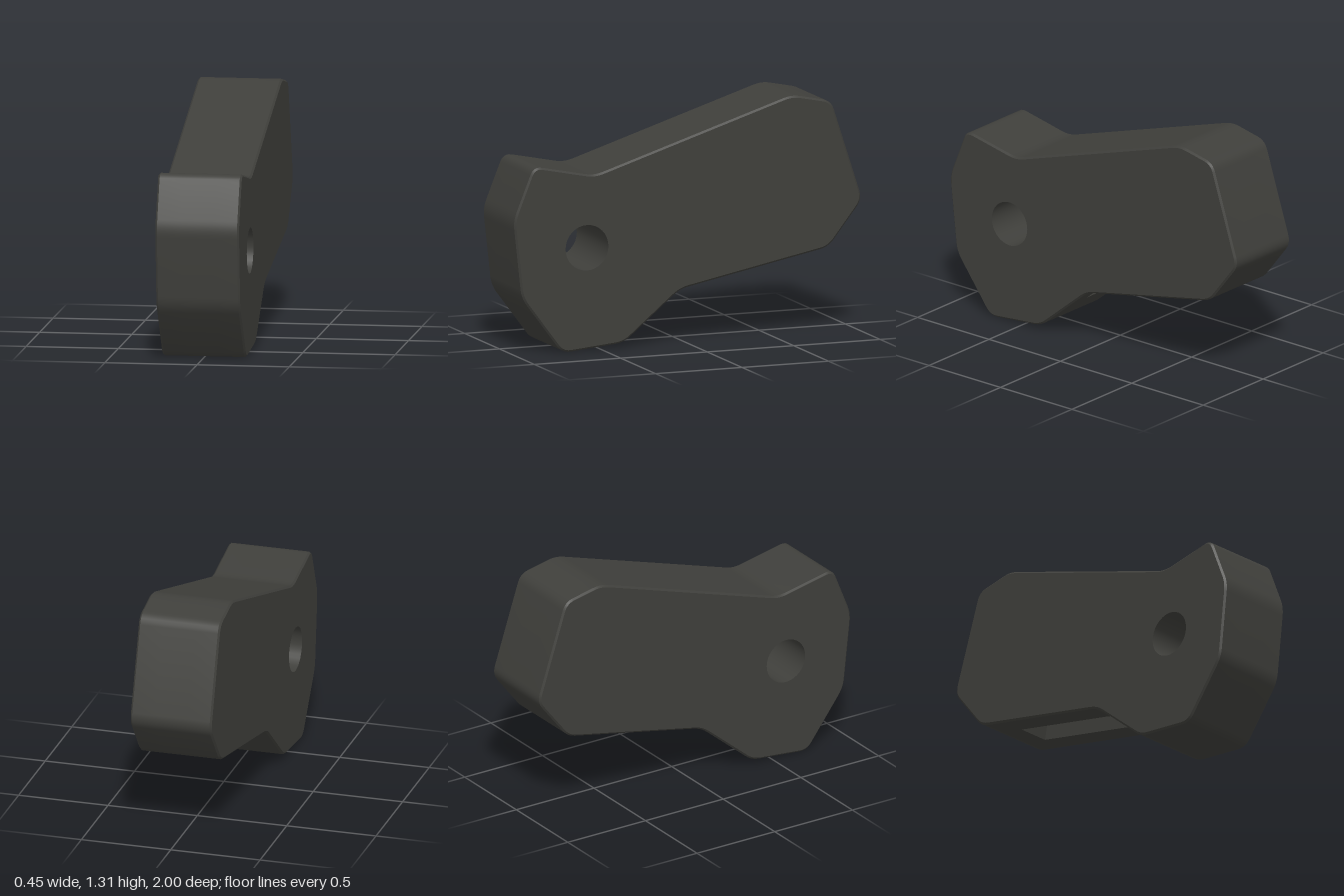
import * as THREE from 'three';
import { mergeGeometries, toCreasedNormals } from 'three/addons/utils/BufferGeometryUtils.js';

const HALF = 0.227;    // half thickness of the body
const BEVEL = 0.01;    // small chamfer around both side faces
const SLOT = 0.09;     // half width of the underside slot
const DEPTH = 0.42;    // depth of the slot

// The profile lies in (u, v) = (-z, y) and is swept along w, which becomes x.
const v2 = (z, y) => new THREE.Vector2(-z, y);

// Closed outline with every corner rounded; a corner flagged "sharp" stays as is.
function roundCorners(corners, cut = 0.05, steps = 5) {
  const out = [];
  corners.forEach((c, i) => {
    if (c.sharp) return out.push(c.clone());
    const n = corners.length;
    const toward = (p) => c.clone().add(p.clone().sub(c).setLength(cut));
    const a = toward(corners[(i + n - 1) % n]);
    const b = toward(corners[(i + 1) % n]);
    out.push(...new THREE.QuadraticBezierCurve(a, c, b).getPoints(steps));
  });
  return out;
}

// Move a counter-clockwise outline inward by d
function inset(pts, d) {
  const n = pts.length;
  return pts.map((p, i) => {
    const e1 = p.clone().sub(pts[(i + n - 1) % n]).normalize();
    const e2 = pts[(i + 1) % n].clone().sub(p).normalize();
    const t = e1.add(e2).normalize();
    return new THREE.Vector2(p.x - t.y * d, p.y + t.x * d);
  });
}

// Wall between two outlines with equal point counts, at depths w0 < w1
function wall(p0, w0, p1, w1) {
  const pos = [];
  p0.forEach((p, i) => {
    const j = (i + 1) % p0.length;
    const a = [p.x, p.y, w0], b = [p0[j].x, p0[j].y, w0];
    const c = [p1[j].x, p1[j].y, w1], d = [p1[i].x, p1[i].y, w1];
    pos.push(...a, ...b, ...c, ...a, ...c, ...d);
  });
  return new THREE.BufferGeometry().setAttribute('position', new THREE.Float32BufferAttribute(pos, 3));
}

// Flat face at depth w, looking along +w or -w
function cap(pts, w, facing, hole) {
  const shape = new THREE.Shape(pts);
  if (hole) shape.holes.push(new THREE.Path(hole));
  const g = new THREE.ShapeGeometry(shape);
  if (facing < 0) g.index.array.reverse();
  const flat = g.toNonIndexed();
  flat.deleteAttribute('uv');
  flat.deleteAttribute('normal');
  return flat.translate(0, 0, w);
}

export function createModel() {
  const group = new THREE.Group();
  const material = new THREE.MeshStandardMaterial({ color: 0x3f3f3b });
  const add = (name, parts) => {
    const g = toCreasedNormals(mergeGeometries(parts), 0.5).rotateY(Math.PI / 2);
    const mesh = new THREE.Mesh(g, material);
    mesh.name = name;
    group.add(mesh);
  };

  // Outline corners, counter-clockwise, split at the underside bend
  const elbow = v2(0.045, 0.3);
  const heel = v2(-0.815, 0.472);
  const toe = v2(0.37, 0.03);
  const before = [
    v2(0.89, 1.025), v2(1.007, 0.735), v2(0.96, 0.31), v2(0.725, -0.003), toe,
  ];
  const after = [heel, v2(-1.009, 0.72), v2(-0.83, 1.268), v2(-0.603, 1.315), v2(0.54, 0.953)];
  const outline = roundCorners([...before, elbow, ...after]);

  // Slot mouth on the underside, with end walls square to the long underside face
  const front = elbow.clone().lerp(toe, 0.354);
  const back = elbow.clone().lerp(heel, 0.797);
  const along = heel.clone().sub(elbow).normalize();
  const up = new THREE.Vector2(-along.y, along.x);
  const backTop = back.clone().addScaledVector(up, DEPTH);
  const rise = backTop.clone().sub(front).dot(up);
  const frontTop = front.clone().addScaledVector(up, rise);
  for (const p of [front, frontTop, backTop, back]) p.sharp = true;
  const notched = roundCorners([...before, front, frontTop, backTop, back, ...after]);
  const slotSide = roundCorners([front, elbow, back, backTop, frontTop]);

  // Round pivot hole, clockwise so that its wall faces the axis
  const hole = Array.from({ length: 32 }, (_, i) => {
    const a = (-i / 32) * Math.PI * 2;
    return v2(0.585 - 0.124 * Math.cos(a), 0.563 + 0.124 * Math.sin(a));
  });

  // Body: side faces, chamfers, rim and the notched middle strip
  const inner = inset(outline, BEVEL);
  const rim = HALF - BEVEL;
  add('body', [
    cap(inner, -HALF, -1, hole),
    wall(inner, -HALF, outline, -rim),
    wall(outline, -rim, outline, -SLOT),
    wall(notched, -SLOT, notched, SLOT),
    wall(outline, SLOT, outline, rim),
    wall(outline, rim, inner, HALF),
    cap(inner, HALF, 1, hole),
  ]);
  add('pivotHole', [wall(hole, -HALF, hole, HALF)]);
  add('slotSides', [cap(slotSide, -SLOT, 1), cap(slotSide, SLOT, -1)]);
  return group;
}
